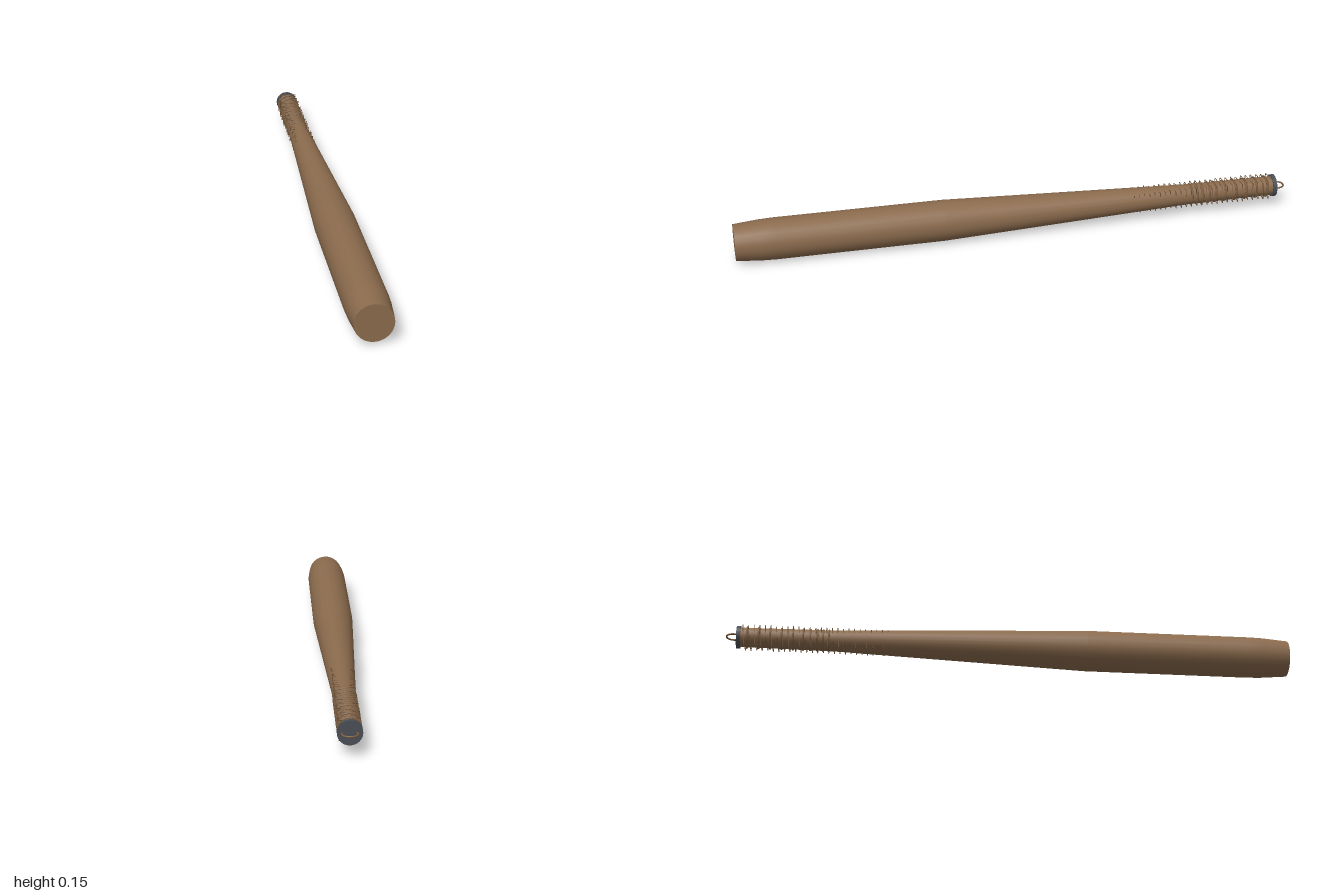
import * as THREE from 'three';

export function createModel() {
  const model = new THREE.Group();
  const axisY = 0.0745;
  const wood = new THREE.MeshStandardMaterial({ color: 0x8b6b4d });
  const cord = new THREE.MeshStandardMaterial({ color: 0x7d5f42 });
  const metal = new THREE.MeshStandardMaterial({ color: 0x4a4f56 });

  const add = (name, geometry, material, z = 0) => {
    const mesh = new THREE.Mesh(geometry, material);
    mesh.name = name;
    mesh.position.set(0, axisY, z);
    model.add(mesh);
    return mesh;
  };
  // turned part: [radius, z] pairs running from back to front
  const turned = (name, points, material) =>
    add(name, new THREE.LatheGeometry(points.map(([r, z]) => new THREE.Vector2(r, z)), 24).rotateX(Math.PI / 2), material);

  // tapered wooden shaft with its flat front end
  turned('shaft', [[0.034, -0.95], [0.037, -0.62], [0.0725, 0.27], [0.073, 0.86], [0.0715, 0.91], [0.064, 1]], wood);
  add('frontEnd', new THREE.CircleGeometry(0.064, 24), wood, 1);

  // raised bands on the grip, closer together towards the shaft
  for (const z of [-0.925, -0.885, -0.845, -0.805, -0.765, -0.73, -0.705, -0.68, -0.66, -0.64]) {
    add('gripBand', new THREE.TorusGeometry(0.0365, 0.0035, 6, 24), cord, z);
  }

  // fine cord wound around the grip in four straight runs per turn
  const turns = 27, winding = new THREE.CurvePath();
  const corner = (i) => {
    const a = Math.PI / 4 + i * Math.PI / 2;
    return new THREE.Vector3(Math.cos(a) * 0.049, Math.sin(a) * 0.049, -0.945 + 0.525 * i / (turns * 4));
  };
  for (let i = 0; i < turns * 4; i++) winding.add(new THREE.LineCurve3(corner(i), corner(i + 1)));
  add('gripCord', new THREE.TubeGeometry(winding, turns * 4, 0.0015, 4), cord);

  // pommel cap and hanging loop
  const cap = new THREE.CylinderGeometry(0.04, 0.04, 0.014, 24).rotateX(Math.PI / 2);
  add('pommelCap', cap, metal, -0.955);
  add('hangingLoop', new THREE.TorusGeometry(0.025, 0.003, 8, 24).rotateX(Math.PI / 2), cord, -0.972);

  return model;
}
